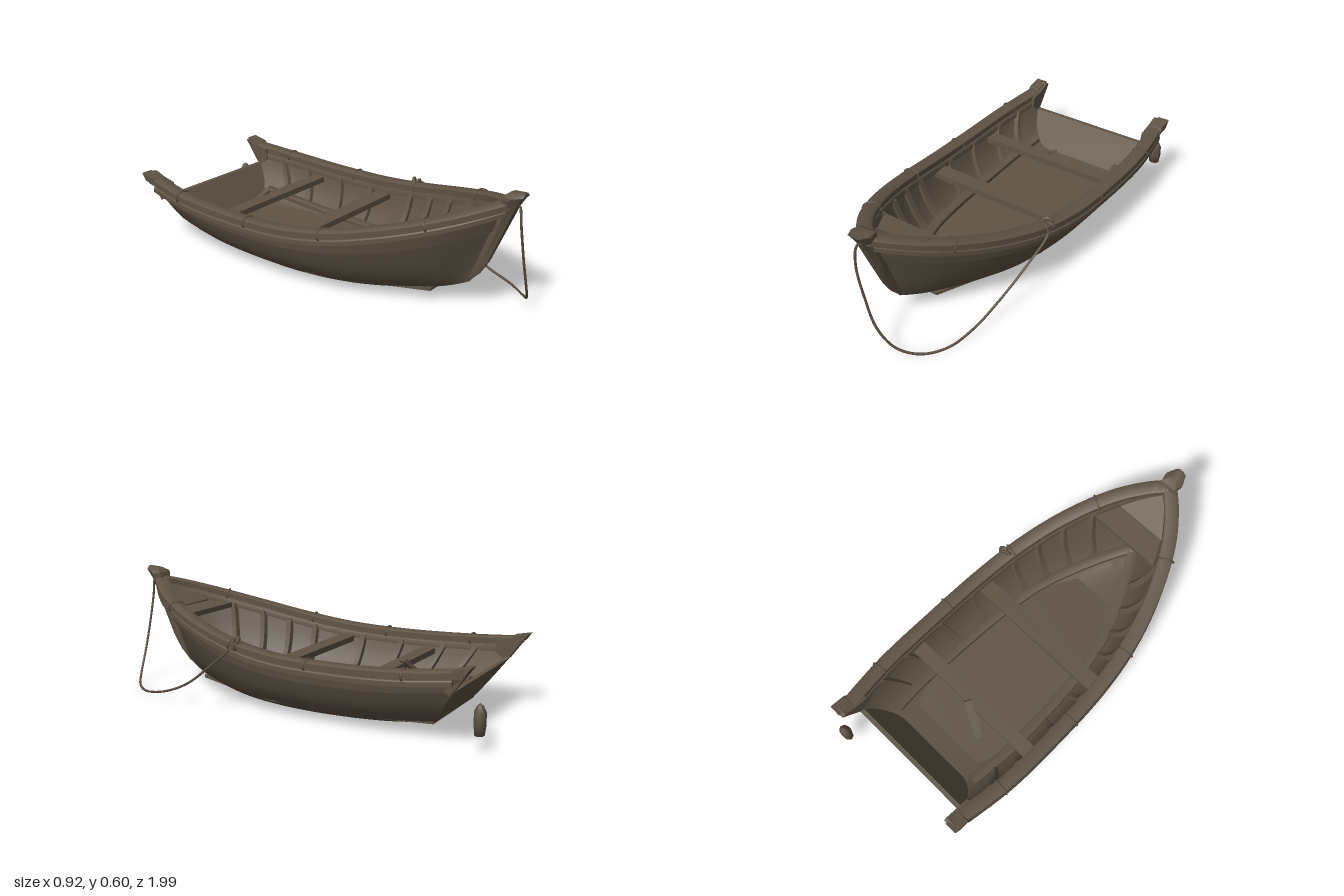
import * as THREE from 'three';
import { toCreasedNormals } from 'three/addons/utils/BufferGeometryUtils.js';

const V = (x, y, z) => new THREE.Vector3(x, y, z);
const lerp = THREE.MathUtils.lerp;
const wood = new THREE.MeshStandardMaterial({ color: 0x5f5344, side: THREE.DoubleSide });

// Hull guide curves from stern (u = 0) to bow (u = 1): half width, height, z
const chine = new THREE.CatmullRomCurve3([
  V(.23, .06, -.73), V(.24, .035, -.5), V(.24, .023, -.24), V(.23, .023, 0), V(.2, .033, .23),
  V(.13, .05, .44), V(.06, .075, .61), V(.02, .1, .7), V(.004, .125, .755)]);
const sheer = new THREE.CatmullRomCurve3([
  V(.375, .325, -.92), V(.415, .298, -.62), V(.42, .288, -.3), V(.41, .298, 0), V(.375, .335, .25),
  V(.3, .395, .5), V(.19, .46, .72), V(.085, .505, .85), V(.008, .53, .92)]);

// Point on the rounded side; t = 0 at the chine, 1 at the sheer, out pushes outward
function sidePoint(u, t, side, out = 0) {
  const b = chine.getPoint(u), s = sheer.getPoint(u);
  const cx = lerp(b.x, s.x, .8 - .28 * u * u), cy = lerp(b.y, s.y, .17);
  const q = (a, c, d) => (1 - t) ** 2 * a + 2 * t * (1 - t) * c + t * t * d;
  const y = q(b.y, cy, s.y);
  const z = lerp(b.z, s.z, (y - b.y) / (s.y - b.y));
  return V(side * Math.max(0, q(b.x, cx, s.x) + out), y - out * (1 - t), z);
}

// Skin a list of cross-sections; closed sections also get end caps
function loft(rings, closed = true, crease = .6) {
  const n = rings[0].length, pos = [], idx = [];
  rings.forEach(r => r.forEach(p => pos.push(p.x, p.y, p.z)));
  for (let i = 0; i < rings.length - 1; i++)
    for (let j = 0; j < (closed ? n : n - 1); j++) {
      const a = i * n + j, b = i * n + (j + 1) % n;
      idx.push(a, b, a + n, b, b + n, a + n);
    }
  if (closed) for (let j = 1; j < n - 1; j++) {
    const e = (rings.length - 1) * n;
    idx.push(0, j + 1, j, e, e + j, e + j + 1);
  }
  const g = new THREE.BufferGeometry();
  g.setAttribute('position', new THREE.Float32BufferAttribute(pos, 3));
  g.setIndex(idx);
  return toCreasedNormals(g, crease);
}

// Timber with softened top corners following a list of points
function timber(pts, w, h) {
  return loft(pts.map((p, i) => {
    const d = pts[Math.min(i + 1, pts.length - 1)].clone().sub(pts[Math.max(i - 1, 0)]);
    const n = V(d.z, 0, -d.x).normalize().multiplyScalar(w / 2);
    const c = (k, dy) => p.clone().addScaledVector(n, k).add(V(0, dy, 0));
    return [c(-1, -h / 2), c(1, -h / 2), c(1, h * .3), c(.7, h / 2), c(-.7, h / 2), c(-1, h * .3)];
  }));
}

// Side profile in (z, y), given thickness across x
function sideProfile(points, width, x) {
  const s = new THREE.Shape(points.map(p => new THREE.Vector2(...p)));
  const g = new THREE.ExtrudeGeometry(s, { depth: width, bevelEnabled: false });
  return g.rotateY(-Math.PI / 2).translate(x + width / 2, 0, 0);
}

const steps = (n, f, a = 0, b = 1) => Array.from({ length: n + 1 }, (_, i) => f(lerp(a, b, i / n)));

export function createModel() {
  const boat = new THREE.Group();
  boat.name = 'rowingBoat';
  const add = (name, geo) => {
    const m = new THREE.Mesh(geo, wood);
    m.name = name;
    boat.add(m);
    return m;
  };

  // Outer skin with a lapped top strake, and the inner skin
  const half = [[0, 0], [.12, 0], [.25, 0], [.4, 0], [.55, 0], [.68, 0], [.8, .002], [.8, .014], [1, .012]];
  const skin = inset => steps(48, u => {
    const row = s => half.map(([t, o]) => sidePoint(u, t, s, inset ? -inset : o));
    const left = row(1), right = row(-1);
    const keel = left[0].clone().setX(0);
    return [...left.reverse(), keel, ...right];
  });
  add('outerHull', loft(skin(0), false));
  add('innerHull', loft(skin(.024), false));

  // Raked transom, cut lower than the stern horns
  const edge = steps(10, t => sidePoint(0, t, 1, -.002), 0, .79);
  const outline = [...edge, ...edge.slice().reverse().map(p => V(-p.x, p.y, p.z))];
  const transomGeo = new THREE.ExtrudeGeometry(
    new THREE.Shape(outline.map(p => new THREE.Vector2(p.x, p.y))), { depth: .022, bevelEnabled: false });
  const tp = transomGeo.attributes.position;
  const rake = y => -.73 - (y - .06) * .19 / .265;
  for (let i = 0; i < tp.count; i++) tp.setZ(i, tp.getZ(i) + rake(tp.getY(i)));
  transomGeo.computeVertexNormals();
  add('transom', transomGeo);

  // Flat floor, parallel aft and tapering towards the bow
  const plan = [[.25, -.73], [.29, -.5], [.29, .06], [.25, .2], [.08, .6]];
  const floorShape = new THREE.Shape([...plan, ...plan.slice().reverse().map(([x, z]) => [-x, z])]
    .map(([x, z]) => new THREE.Vector2(x, -z)));
  add('floor', new THREE.ExtrudeGeometry(floorShape, { depth: .015, bevelEnabled: false })
    .rotateX(-Math.PI / 2).translate(0, .057, 0));

  for (const s of [1, -1]) {
    const side = s > 0 ? 'left' : 'right';
    const along = (dx, dy, a, b) => steps(40, u => {
      const p = sheer.getPoint(u);
      return V(s * Math.max(.004, p.x + dx), p.y + dy, p.z);
    }, a, b);
    // Gunwale, rub rail and inwale
    add(side + 'Gunwale', timber(along(-.006, .006, .005, .99), .068, .034));
    add(side + 'RubRail', timber(along(.014, -.03, .022, .99), .03, .026));
    add(side + 'Inwale', timber(along(-.035, -.03, .03, .93), .022, .03));

    // Stringer along the edge of the floor, closing in at the bow
    add(side + 'FloorStringer', timber(
      steps(30, u => sidePoint(u, lerp(.34, .2, u), s, -.045).add(V(0, .004, 0)), .03, .86), .05, .024));

    // Ribs against the inner skin
    for (const u of [.09, .16, .25, .34, .47, .54, .61, .69])
      add(side + 'Rib', loft(steps(8, t => {
        const c = (o, dz) => sidePoint(u, t, s, o).add(V(0, 0, dz));
        return [c(-.018, -.016), c(-.045, -.013), c(-.045, .013), c(-.018, .016)];
      }, .35, .95)));

    // Stern horn rising above the transom, flush with its rake
    add(side + 'SternHorn', sideProfile(
      [[-.85, .23], [-.943, .357], [-.925, .36], [-.87, .34], [-.8, .325], [-.79, .27]], .046, s * .36));
    add(side + 'HornCap', sideProfile(
      [[-.948, .363], [-.922, .326], [-.85, .315], [-.87, .347]], .06, s * .385));

    // Rope lashings around the gunwale
    for (const u of [.11, .29, .48, .71]) {
      const p = sheer.getPoint(u), d = sheer.getTangent(u);
      const ring = add(side + 'Lashing', new THREE.TorusGeometry(.04, .005, 5, 12));
      ring.position.set(s * (p.x - .004), p.y + .002, p.z);
      ring.lookAt(s * (p.x - .004 + d.x), p.y + .002 + d.y, p.z + d.z);
      ring.scale.set(1, .72, 1);
    }
  }

  // Thwarts
  const plank = (name, w, d, y, z) => add(name, new THREE.BoxGeometry(w, .028, d).translate(0, y, z));
  plank('middleThwart', .73, .08, .246, .01);
  plank('aftThwart', .75, .07, .228, -.44);
  // Tapered bow seat and the small deck rising behind it to the stem
  const wedge = (name, z0, w0, z1, w1, y0, y1, h) => add(name, loft([[z0, w0, y0], [z1, w1, y1]].map(
    ([z, w, y]) => [V(-w, y, z), V(w, y, z), V(w, y + h, z), V(-w, y + h, z)])));
  wedge('bowSeat', .61, .19, .74, .125, .38, .39, .025);
  wedge('bowDeck', .73, .14, .925, .015, .4, .505, .02);

  // Loose board leaning on the aft thwart
  const board = add('looseBoard', new THREE.BoxGeometry(.2, .016, .04));
  board.position.set(-.065, .2, -.505);
  board.rotation.set(0, -.45, .65);

  // Stem post, narrow at the forefoot and flared into a head: [y, half width, back z, front z]
  add('stem', loft([[.095, .008, .66, .7], [.125, .011, .69, .757], [.17, .014, .74, .8],
    [.24, .018, .785, .843], [.4, .03, .855, .91], [.525, .036, .895, .962], [.565, .052, .9, .985],
    [.577, .05, .908, .997], [.594, .022, .935, .997]].map(([y, w, a, b]) =>
    [V(-w * .8, y, a), V(w * .8, y, a), V(w, y, (a + b) / 2), V(w * .55, y + .006, b),
      V(-w * .55, y + .006, b), V(-w, y, (a + b) / 2)])));

  // Mooring rope hanging from the stem to the left gunwale
  const rope = new THREE.CatmullRomCurve3([
    V(.03, .52, .94), V(0, .535, .972), V(-.008, .45, .988), V(.03, .28, .992), V(.08, .14, .988),
    V(.15, .05, .96), V(.23, .012, .9), V(.3, .01, .8), V(.335, .035, .66), V(.36, .1, .5),
    V(.395, .21, .34), V(.415, .31, .21), V(.39, .345, .18)]);
  add('mooringRope', new THREE.TubeGeometry(rope, 90, .006, 5));
  const knot = add('ropeKnot', new THREE.TorusKnotGeometry(.022, .008, 40, 6));
  knot.position.set(.395, .335, .18);

  // Separate pointed wooden peg behind the stern
  const peg = add('loosePeg', new THREE.LatheGeometry([[0, 0], [.022, .004], [.027, .05], [.026, .1],
    [.014, .128], [0, .14]].map(p => new THREE.Vector2(...p)), 7));
  peg.position.set(.345, .07, -.97);
  peg.scale.x = 1.2;

  return boat;
}
